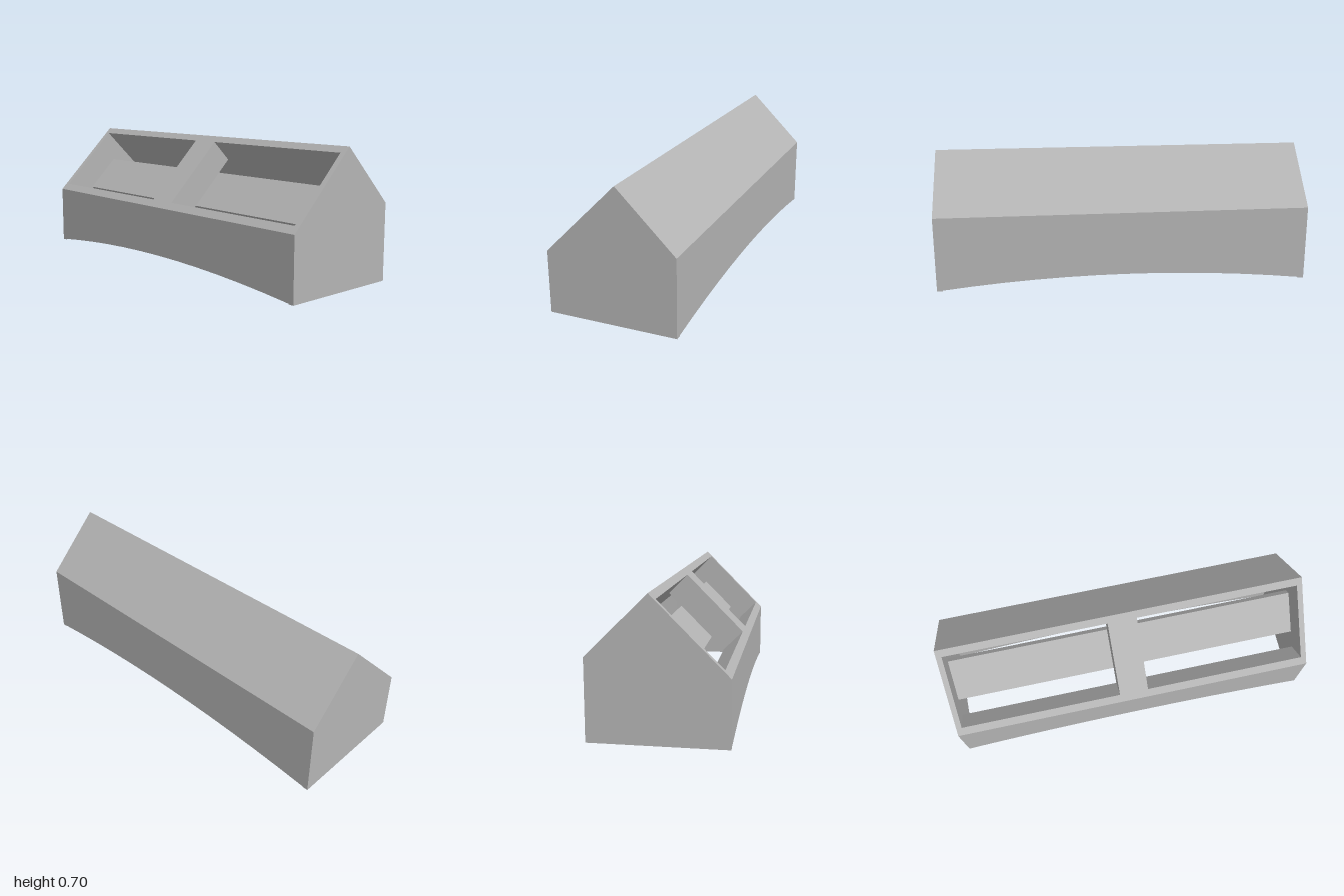
import * as THREE from 'three';

export function createModel() {
  const model = new THREE.Group();
  const gray = new THREE.MeshStandardMaterial({ color: 0xb4b4b4 });
  gray.name = 'plainGray';

  function add(name, geometry) {
    const mesh = new THREE.Mesh(geometry, gray);
    mesh.name = name;
    model.add(mesh);
    return mesh;
  }

  // Extrudes a side profile of [z, y] points along x, centred on x
  function profile(name, points, width, x = 0) {
    const shape = new THREE.Shape(points.map(([z, y]) => new THREE.Vector2(z, y)));
    const geometry = new THREE.ExtrudeGeometry(shape, { depth: width, bevelEnabled: false });
    geometry.translate(0, 0, -width / 2).rotateY(-Math.PI / 2).translate(x, 0, 0);
    return add(name, geometry);
  }

  // Upright wall with a shallow arched bottom edge
  function archedWall(name, top, z, depth) {
    const half = 0.97, steps = 12;
    const shape = new THREE.Shape();
    shape.moveTo(half, top);
    shape.lineTo(-half, top);
    for (let i = 0; i <= steps; i++) {
      const x = -half + (2 * half * i) / steps;
      shape.lineTo(x, 0.06 * (1 - x * x));
    }
    const geometry = new THREE.ExtrudeGeometry(shape, { depth, bevelEnabled: false });
    geometry.translate(0, 0, z);
    add(name, geometry);
  }

  const inner = 1.94;

  // Pentagon end walls
  for (const side of [-1, 1]) {
    profile(side > 0 ? 'leftEndWall' : 'rightEndWall',
      [[0.337, 0], [0.337, 0.327], [-0.037, 0.702], [-0.337, 0.404], [-0.337, 0]],
      0.03, side * 0.985);
  }

  // Long walls, open underneath
  archedWall('frontWall', 0.21, 0.247, 0.09);
  archedWall('backWall', 0.404, -0.337, 0.09);

  // Rear roof slab
  profile('rearRoof',
    [[-0.037, 0.702], [-0.007, 0.672], [-0.247, 0.432], [-0.247, 0.404], [-0.337, 0.404]], inner);

  // Thick lower lip of the sloped openings
  profile('frontLip',
    [[0.337, 0.21], [0.337, 0.327], [0.304, 0.36], [0.2, 0.256], [0.246, 0.21]], inner);

  // Bar between the two openings
  profile('centreBar',
    [[0.304, 0.36], [-0.007, 0.672], [-0.112, 0.567], [0.2, 0.256]], 0.16);

  // Sloped inner shelf running behind both openings
  profile('innerShelf',
    [[-0.042, 0.497], [0.13, 0.325], [0.1, 0.295], [-0.072, 0.467]], inner);

  return model;
}
